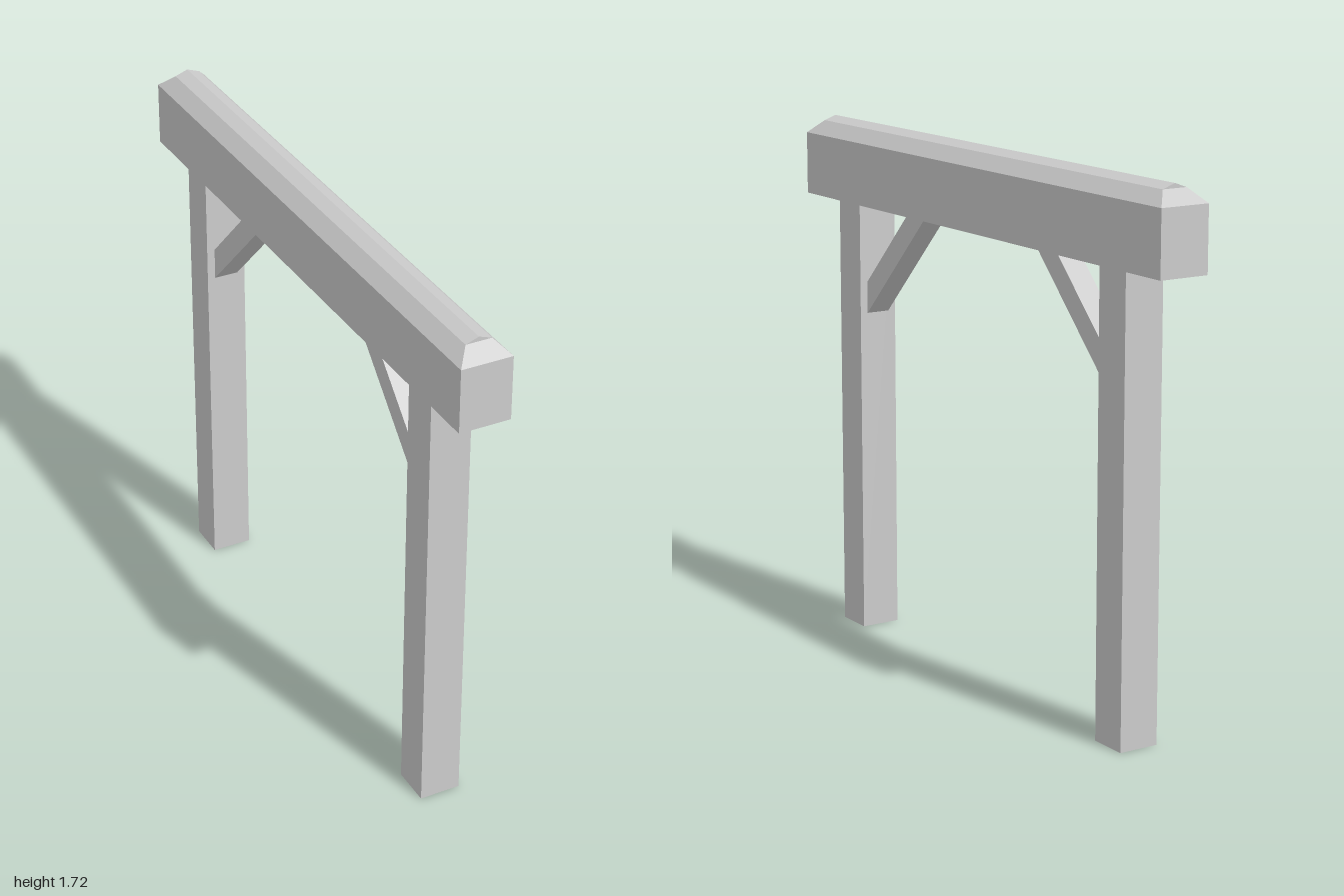
import * as THREE from 'three';

const material = new THREE.MeshStandardMaterial({ color: 0xcccccc, flatShading: true });

function box(name, w, h, d, y, z) {
  const mesh = new THREE.Mesh(new THREE.BoxGeometry(w, h, d), material);
  mesh.name = name;
  mesh.position.set(0, y + h / 2, z);
  return mesh;
}

// Hipped cap: rectangular rings (half width, y, half length) joined into a roof
function capGeometry(rings) {
  const positions = [];
  const corners = ([x, y, z]) => [[x, y, z], [x, y, -z], [-x, y, -z], [-x, y, z]];
  for (let r = 0; r < rings.length - 1; r++) {
    const low = corners(rings[r]);
    const high = corners(rings[r + 1]);
    for (let i = 0; i < 4; i++) {
      const j = (i + 1) % 4;
      positions.push(...low[i], ...low[j], ...high[j], ...low[i], ...high[j], ...high[i]);
    }
  }
  const geometry = new THREE.BufferGeometry();
  geometry.setAttribute('position', new THREE.Float32BufferAttribute(positions, 3));
  geometry.computeVertexNormals();
  return geometry;
}

// Diagonal brace: (z, y) outline extruded across x
function braceGeometry(width) {
  const shape = new THREE.Shape([
    [-0.685, 1.085], [-0.315, 1.455], [-0.42, 1.455], [-0.685, 1.19],
  ].map(([z, y]) => new THREE.Vector2(z, y)));
  const geometry = new THREE.ExtrudeGeometry(shape, { depth: width, bevelEnabled: false });
  geometry.translate(0, 0, -width / 2);
  geometry.rotateY(Math.PI / 2);
  return geometry;
}

export function createModel() {
  const group = new THREE.Group();
  group.name = 'postAndBeamFrame';

  // Top beam and its faceted cap
  group.add(box('beam', 0.166, 0.205, 2, 1.455, 0));
  const cap = new THREE.Mesh(capGeometry([
    [0.083, 1.66, 1], [0.042, 1.703, 0.95], [0, 1.718, 0.95],
  ]), material);
  cap.name = 'beamCap';
  group.add(cap);

  // Posts and braces, mirrored front to back
  const brace = braceGeometry(0.08);
  for (const [side, s] of [['front', 1], ['back', -1]]) {
    group.add(box(side + 'Post', 0.133, 1.455, 0.13, 0, s * 0.748));
    const mesh = new THREE.Mesh(brace, material);
    mesh.name = side + 'Brace';
    mesh.rotation.y = s > 0 ? 0 : Math.PI;
    group.add(mesh);
  }
  return group;
}
